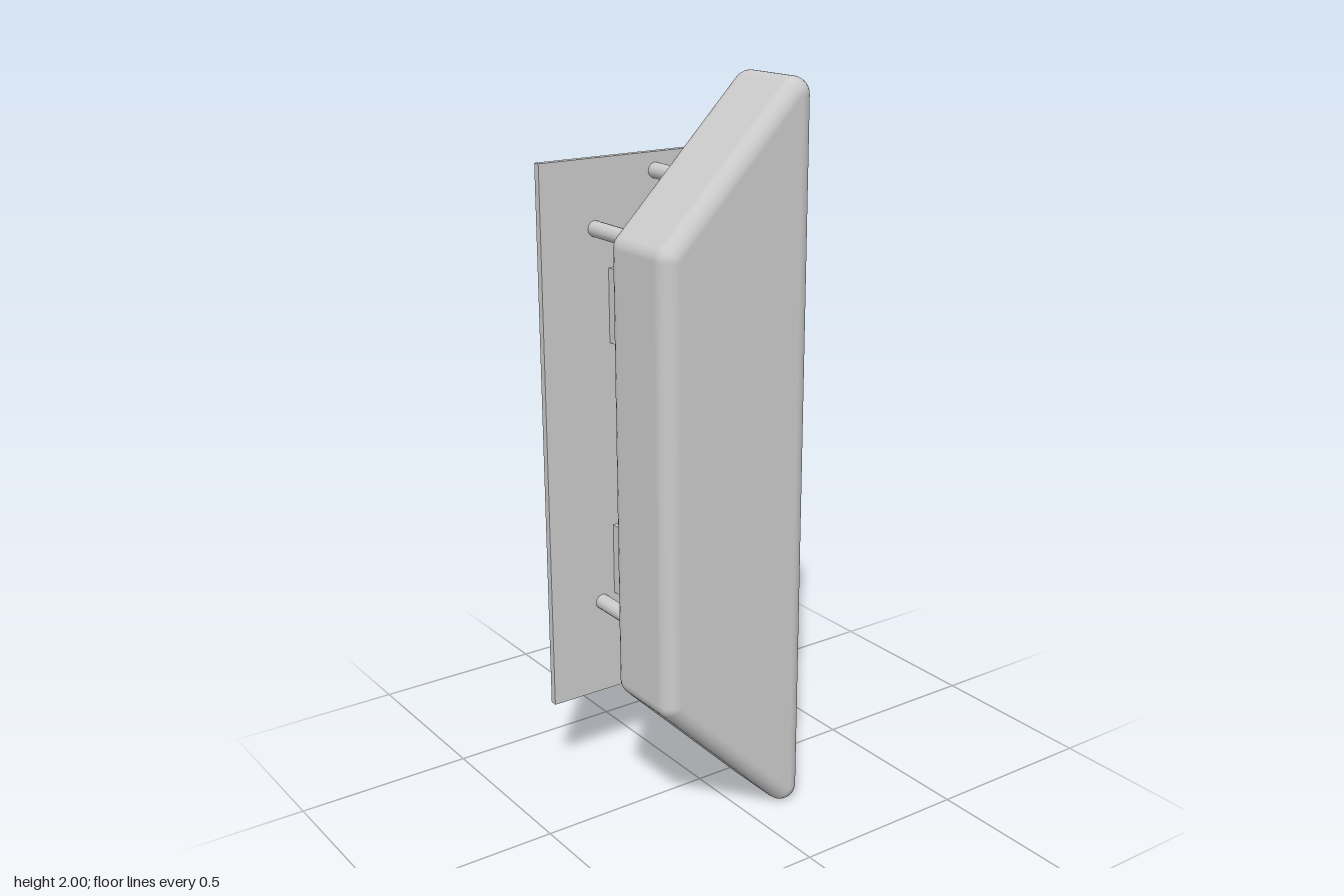
import * as THREE from 'three';

const grey = new THREE.MeshStandardMaterial({ color: 0xcccccc });
const greyDouble = new THREE.MeshStandardMaterial({ color: 0xcccccc, side: THREE.DoubleSide });

function add(parent, name, geometry, x = 0, y = 0, z = 0, material = grey) {
  const mesh = new THREE.Mesh(geometry, material);
  mesh.name = name;
  mesh.position.set(x, y, z);
  parent.add(mesh);
  return mesh;
}

// Trapezoid case: edge radius, inset corners (counter-clockwise) and inset depth
const R = 0.045;
const Z0 = 0.045, Z1 = 0.21;
const FACE_X = 0.17;
const corners = [[0.125, 1.955], [-0.24, 1.59], [-0.24, 0.41], [0.125, 0.045]];
// Start and end angle of the rounding at each corner, in eighths of a turn
const turns = [[0, 3], [3, 4], [4, 5], [5, 8]];

// Rounded skin with smooth normals, left open on the flat side that carries the ports
function caseSkin() {
  const ring = [];
  corners.forEach(([x, y], i) => {
    const [a, b] = turns[i], steps = (b - a) * 3;
    for (let k = 0; k <= steps; k++) ring.push({ x, y, t: (a + (b - a) * k / steps) * Math.PI / 4 });
  });
  const rows = [];
  for (const [z, from] of [[Z0, -Math.PI / 2], [Z1, 0]])
    for (let k = 0; k <= 6; k++) rows.push({ z, p: from + k / 6 * Math.PI / 2 });

  const pos = [], nor = [], idx = [], n = ring.length;
  for (const { z, p } of rows) for (const { x, y, t } of ring) {
    const d = [Math.cos(p) * Math.cos(t), Math.cos(p) * Math.sin(t), Math.sin(p)];
    pos.push(x + R * d[0], y + R * d[1], z + R * d[2]);
    nor.push(...d);
  }
  for (let j = 0; j < rows.length - 1; j++) for (let i = 0; i < n; i++) {
    if (j === 6 && i === n - 1) continue; // opening for the port panel
    const k = (i + 1) % n;
    const a = j * n + i, b = j * n + k, c = (j + 1) * n + k, d = (j + 1) * n + i;
    idx.push(a, b, c, a, c, d);
  }
  const g = new THREE.BufferGeometry();
  g.setAttribute('position', new THREE.Float32BufferAttribute(pos, 3));
  g.setAttribute('normal', new THREE.Float32BufferAttribute(nor, 3));
  g.setIndex(idx);
  return g;
}

function buildCase() {
  const group = new THREE.Group();
  group.name = 'case';
  add(group, 'caseSkin', caseSkin());

  // Flat front and back
  const outline = new THREE.Shape(corners.map(([x, y]) => new THREE.Vector2(x, y)));
  add(group, 'caseFront', new THREE.ShapeGeometry(outline), 0, 0, Z1 + R);
  add(group, 'caseBack', new THREE.ShapeGeometry(outline).rotateY(Math.PI), 0, 0, Z0 - R).scale.x = -1;
  group.children[2].scale.x = 1;
  group.children[2].geometry = new THREE.ShapeGeometry(
    new THREE.Shape(corners.map(([x, y]) => new THREE.Vector2(-x, y)))).rotateY(Math.PI);

  // Side panel with three round recessed ports
  const top = corners[0][1], bottom = corners[3][1];
  const panel = new THREE.Shape([[-Z1, bottom], [-Z0, bottom], [-Z0, top], [-Z1, top]]
    .map(([x, y]) => new THREE.Vector2(x, y)));
  const radius = 0.068, depth = 0.05, portZ = 0.13;
  for (const y of [1.1, 0.913, 0.543]) {
    panel.holes.push(new THREE.Path().absarc(-portZ, y, radius, 0, Math.PI * 2, true));
    add(group, 'portWall', new THREE.CylinderGeometry(radius, radius, depth, 24, 1, true)
      .rotateZ(Math.PI / 2), FACE_X - depth / 2, y, portZ, greyDouble);
    add(group, 'portFloor', new THREE.CircleGeometry(radius, 24)
      .rotateY(Math.PI / 2), FACE_X - depth, y, portZ);
  }
  add(group, 'portPanel', new THREE.ShapeGeometry(panel, 24).rotateY(Math.PI / 2), FACE_X);
  return group;
}

// Gearbox with a motor barrel pointing out of the left side
function buildMotor(y) {
  const group = new THREE.Group();
  group.name = 'motor';
  group.position.set(0, y, -0.13);
  add(group, 'gearbox', new THREE.BoxGeometry(0.216, 0.206, 0.212), -0.022, 0, 0);
  const barrel = (r, x0, x1, name) => add(group, name,
    new THREE.CylinderGeometry(r, r, x1 - x0, 24).rotateZ(Math.PI / 2), (x0 + x1) / 2);
  barrel(0.098, 0.08, 0.14, 'motorNeck');
  barrel(0.1, 0.138, 0.335, 'motorBarrel');
  return group;
}

export function createModel() {
  const model = new THREE.Group();
  model.add(buildCase());

  // Mounting plate behind the case
  add(model, 'backPlate', new THREE.BoxGeometry(0.51, 1.53, 0.02), -0.08, 1.005, -0.245);

  // Spacer posts between plate and case
  for (const [x, y] of [[0.022, 1.72], [-0.17, 1.585], [-0.17, 0.517], [0.022, 0.288]])
    add(model, 'spacerPost', new THREE.CylinderGeometry(0.022, 0.022, 0.24, 12)
      .rotateX(Math.PI / 2), x, y, -0.118);

  for (const y of [1.372, 0.638]) model.add(buildMotor(y));
  return model;
}
